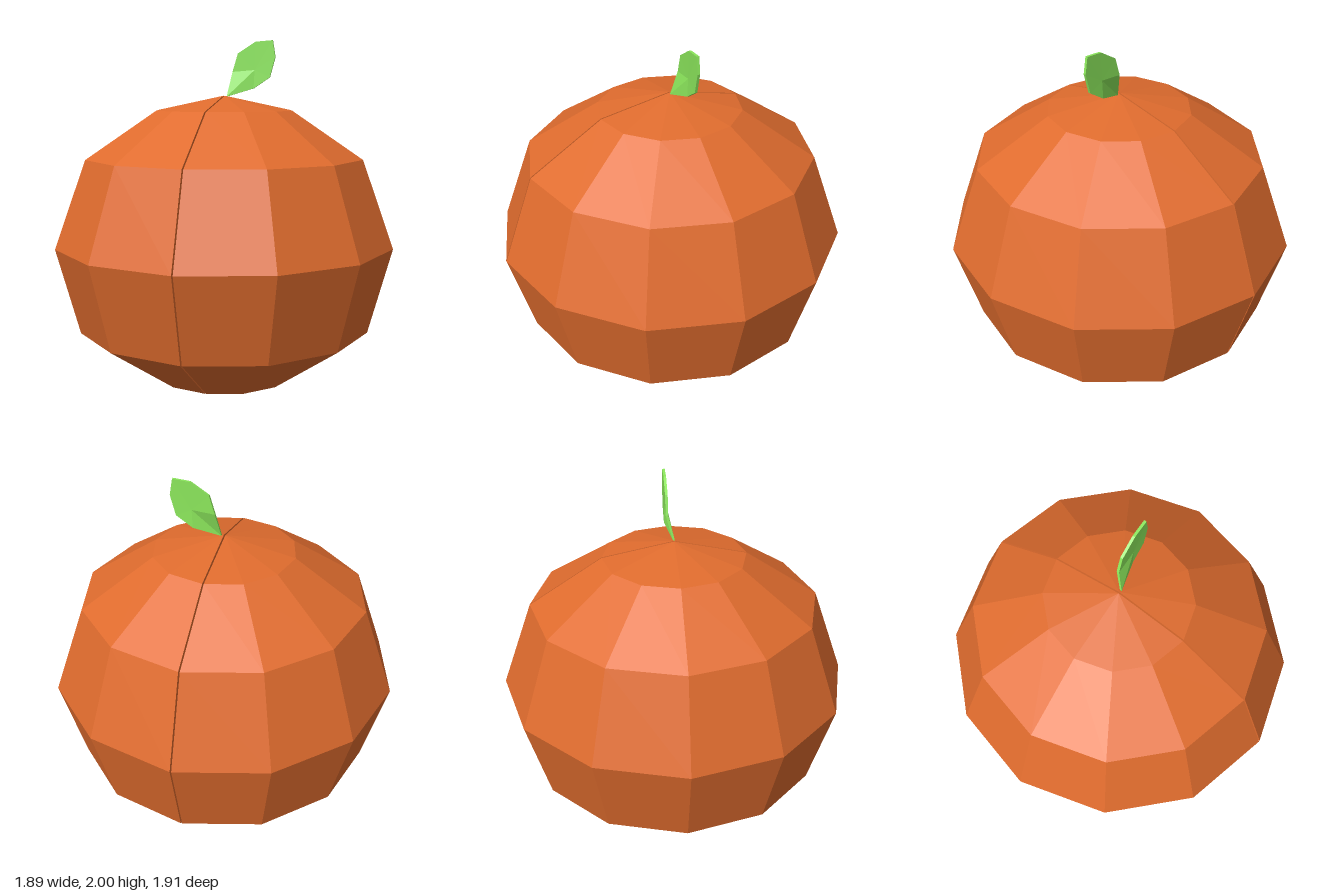
import * as THREE from 'three';

const peel = new THREE.MeshStandardMaterial({ color: 0xe06c2e, flatShading: true });
const cutFace = new THREE.MeshStandardMaterial({ color: 0xe06c2e, side: THREE.DoubleSide });
const green = new THREE.MeshStandardMaterial({ color: 0x8ce85c, flatShading: true });

// Radius and height of each ring, bottom to top
const profile = [[0, 0.005], [0.395, 0.115], [0.825, 0.405], [0.955, 0.88], [0.78, 1.36], [0.385, 1.62], [0, 1.7]]
  .map(([r, y]) => new THREE.Vector2(r, y));

// One half of the fruit with its flat cut face, side = 1 (left) or -1 (right)
function fruitHalf(side) {
  const half = new THREE.Group();
  half.name = side > 0 ? 'leftHalf' : 'rightHalf';
  const shell = new THREE.Mesh(new THREE.LatheGeometry(profile, 6, side > 0 ? 0 : Math.PI, Math.PI), peel);
  shell.name = 'peel';
  const mirrored = profile.slice(1, -1).reverse().map((p) => new THREE.Vector2(-p.x, p.y));
  const cut = new THREE.Mesh(new THREE.ShapeGeometry(new THREE.Shape([...profile, ...mirrored])), cutFace);
  cut.name = 'cutFace';
  cut.rotation.y = -side * Math.PI / 2;
  half.add(shell, cut);
  half.scale.x = 0.985;
  half.position.x = side * 0.004;
  return half;
}

// Thin leaf: front and back fans around a centre point, joined by a rim
function leafGeometry() {
  const outline = [[0.015, 1.695], [0.16, 1.74], [0.25, 1.8], [0.28, 1.91], [0.265, 2], [0.17, 1.993], [0.07, 1.93], [0.04, 1.83]];
  const n = outline.length;
  const ring = (zTip, z) => outline.map(([x, y], i) => [x, y, i === 0 ? zTip : z]);
  const front = ring(0.005, -0.028), back = ring(-0.005, -0.042);
  const frontMid = [0.165, 1.84, -0.03], backMid = [0.165, 1.84, -0.04];
  const pos = [];
  const tri = (...corners) => corners.forEach((c) => pos.push(...c));
  for (let i = 0; i < n; i++) {
    const j = (i + 1) % n;
    tri(frontMid, front[i], front[j]);
    tri(backMid, back[j], back[i]);
    tri(front[i], back[i], back[j]);
    tri(front[i], back[j], front[j]);
  }
  const geo = new THREE.BufferGeometry();
  geo.setAttribute('position', new THREE.Float32BufferAttribute(pos, 3));
  geo.computeVertexNormals();
  return geo;
}

export function createModel() {
  const model = new THREE.Group();
  model.name = 'orangeFruit';
  const leaf = new THREE.Mesh(leafGeometry(), green);
  leaf.name = 'leaf';
  model.add(fruitHalf(1), fruitHalf(-1), leaf);
  return model;
}
